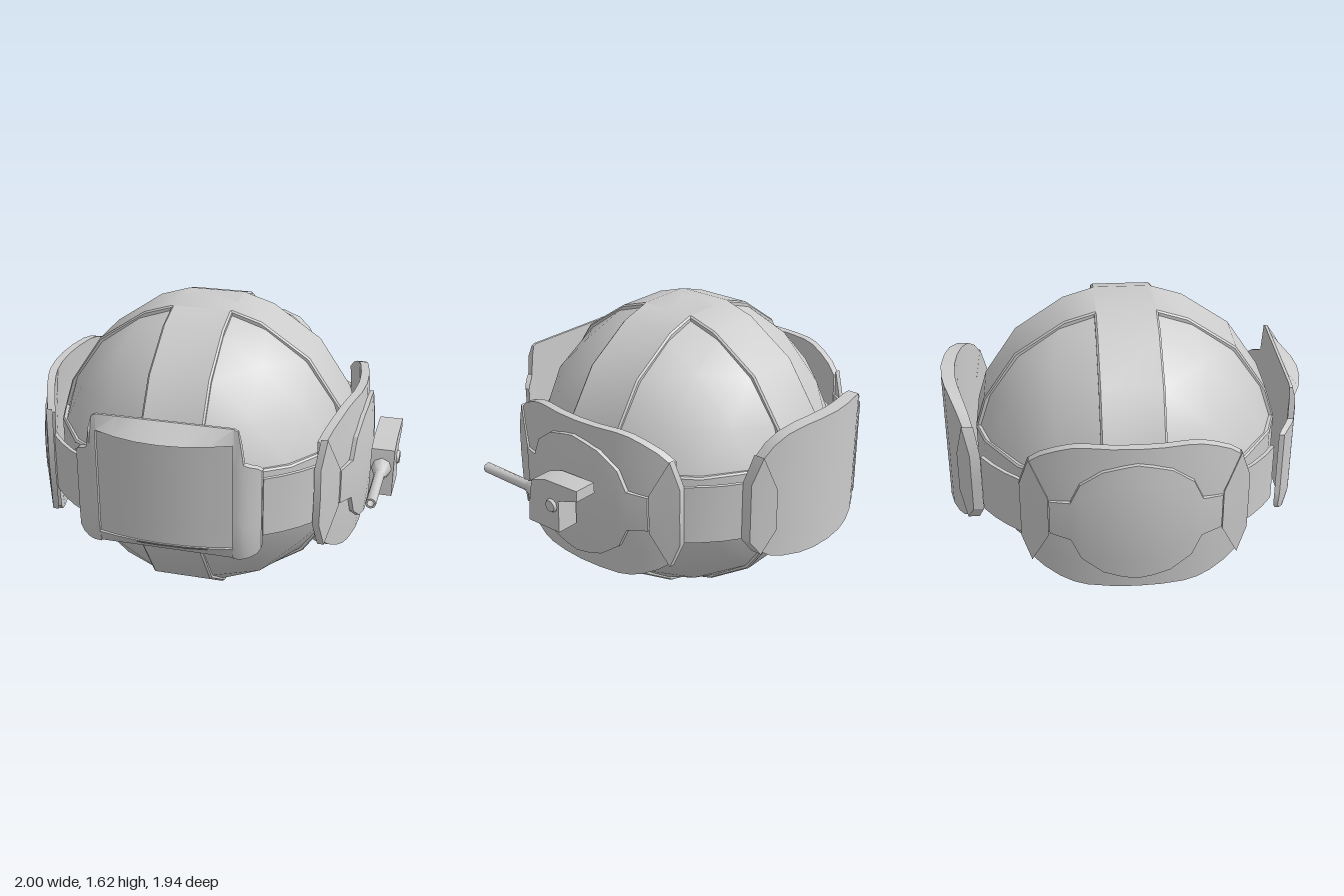
import * as THREE from 'three';
import { toCreasedNormals } from 'three/addons/utils/BufferGeometryUtils.js';

const CX = -0.075, CY = 0.81;
const material = new THREE.MeshStandardMaterial({ color: 0xcccccc });

function add(parent, name, geometry, crease = 0.6) {
  const mesh = new THREE.Mesh(toCreasedNormals(geometry, crease), material);
  mesh.name = name;
  parent.add(mesh);
  return mesh;
}

// Mirrors columns [u, yLow, yHigh] given for u > 0 (or u = 0) to the other side
const flip = cols => cols.map(([u, lo, hi]) => [-u, lo, hi]).reverse();
const both = cols => [...flip(cols.filter(c => c[0] > 0)), ...cols];

// Bent slab facing +z: a box whose columns follow cols and whose faces follow two depth rules
function slab(cols, outer, inner, rows = 6) {
  const n = cols.length - 1;
  const g = new THREE.BoxGeometry(1, 1, 1, n, rows, 1);
  const p = g.attributes.position;
  for (let i = 0; i < p.count; i++) {
    const [u, lo, hi] = cols[Math.round((p.getX(i) + 0.5) * n)];
    const y = lo + (hi - lo) * (p.getY(i) + 0.5);
    p.setXYZ(i, u, y, (p.getZ(i) > 0 ? outer : inner)(u, y));
  }
  return g;
}

// Depth rule: upright drum of radius r that leans in above and below the middle
const drum = (r, lean = 0, shift = 0) => (u, y) =>
  Math.sqrt(r * r - u * u) - lean * (y - CY) ** 2 + shift;

// Raised band around the ball
function bandGeometry() {
  const ring = r => {
    const pts = [];
    for (let q = 0; q < 4; q++)
      for (const a of [11.6, 23, 45, 67, 78.4]) {
        const t = THREE.MathUtils.degToRad(a + q * 90);
        pts.push(new THREE.Vector2(r * Math.cos(t), r * Math.sin(t)));
      }
    return pts;
  };
  const shape = new THREE.Shape(ring(0.825));
  shape.holes.push(new THREE.Path(ring(0.76)));
  return new THREE.ExtrudeGeometry(shape, {
    depth: 0.31, bevelThickness: 0.01, bevelSize: 0.008, bevelOffset: -0.008, bevelSegments: 1,
  }).translate(0, 0, -0.155);
}

// One eighth of the ball, cut off where the bands begin
function panelGeometry(sx, sy, sz) {
  const N = 4, a = 0.155, R = 0.82, pos = [], index = [], id = {};
  for (let i = 0; i <= N; i++)
    for (let j = 0; j <= N - i; j++) {
      const d = new THREE.Vector3(i, j, N - i - j).normalize();
      const b = a * (d.x + d.y + d.z);
      const s = -b + Math.sqrt(b * b - 3 * a * a + R * R);
      id[i + ',' + j] = pos.length / 3;
      pos.push(sx * (a + s * d.x), sy * (a + s * d.y), sz * (a + s * d.z));
    }
  const tri = (p, q, r) => index.push(...(sx * sy * sz > 0 ? [p, q, r] : [p, r, q]));
  for (let i = 0; i < N; i++)
    for (let j = 0; j < N - i; j++) {
      const p = id[i + ',' + j], q = id[(i + 1) + ',' + j], r = id[i + ',' + (j + 1)];
      tri(p, q, r);
      if (i + j < N - 1) tri(q, id[(i + 1) + ',' + (j + 1)], r);
    }
  const g = new THREE.BufferGeometry();
  g.setAttribute('position', new THREE.Float32BufferAttribute(pos, 3));
  g.setIndex(index);
  return g;
}

function createBall() {
  const ball = new THREE.Group();
  ball.name = 'ballBody';
  ball.position.set(CX, CY, 0.01);
  add(ball, 'bandFront', bandGeometry());
  add(ball, 'bandSide', bandGeometry().rotateY(Math.PI / 2));
  add(ball, 'bandBelt', bandGeometry().rotateX(Math.PI / 2));
  for (const x of [1, -1]) for (const y of [1, -1]) for (const z of [1, -1])
    add(ball, 'panel', panelGeometry(x, y, z));
  return ball;
}

// Six-sided clasps on both ends of a plate
function addClasps(parent, cols, outer, inner) {
  add(parent, 'clasp', slab(cols, outer, inner, 2), 0.4);
  add(parent, 'clasp', slab(flip(cols), outer, inner, 2), 0.4);
}

function createArmour() {
  const armour = new THREE.Group();
  armour.name = 'armourRing';
  armour.position.x = CX;

  // Side plates with a raised, notched disc and end clasps
  const sideCols = both([[0, 0.4, 1.225], [0.13, 0.4, 1.225], [0.25, 0.4, 1.225], [0.32, 0.41, 1.215],
    [0.39, 0.435, 1.19], [0.47, 0.48, 1.15], [0.53, 0.53, 1.1]]);
  const discCols = both([[0, 0.47, 1.15], [0.08, 0.485, 1.135], [0.17, 0.51, 1.11], [0.28, 0.59, 1.03],
    [0.33, 0.7, 0.92], [0.435, 0.715, 0.905]]);
  const sideClasp = [[0.44, 0.7, 0.92], [0.53, 0.51, 1.115], [0.58, 0.65, 0.965]];
  for (const s of [1, -1]) {
    const side = new THREE.Group();
    side.name = s > 0 ? 'sidePlateLeft' : 'sidePlateRight';
    side.position.z = 0.015;
    side.rotation.y = s * Math.PI / 2;
    add(side, 'plate', slab(sideCols, drum(1.11, 0.12, -0.215), drum(1.11, 0.12, -0.26)));
    add(side, 'disc', slab(discCols, drum(0.97, 0.2, -0.045), drum(0.97, 0.12, -0.09)), 0.4);
    addClasps(side, sideClasp, drum(1.08, 0.12, -0.17), drum(1.08, 0.12, -0.205));
    armour.add(side);
  }

  // Back plate with end clasps
  const back = new THREE.Group();
  back.name = 'backPlate';
  back.rotation.y = Math.PI;
  const backCols = both([[0, 0.51, 1.26], [0.12, 0.51, 1.26], [0.22, 0.515, 1.255], [0.32, 0.53, 1.23],
    [0.39, 0.55, 1.18], [0.44, 0.585, 1.11]]);
  add(back, 'plate', slab(backCols, drum(0.8, 0, 0.178), drum(0.93, 0, -0.025)));
  addClasps(back, [[0.37, 0.7, 0.93], [0.44, 0.57, 1.125], [0.49, 0.65, 0.98]],
    drum(0.8, 0, 0.187), drum(0.93, 0, -0.025));
  armour.add(back);

  // Thin straps joining the plates
  const strapCols = both([[0, 0.65, 0.97], [0.1, 0.65, 0.97], [0.2, 0.65, 0.97]]);
  for (let i = 0; i < 4; i++)
    add(armour, 'strap', slab(strapCols, drum(0.905), drum(0.885), 1)).rotation.y = Math.PI / 4 + i * Math.PI / 2;
  return armour;
}

function createFace() {
  const face = new THREE.Group();
  face.name = 'facePlate';
  face.position.x = CX;
  const across = (lo, hi) => [-0.355, -0.24, -0.12, 0, 0.12, 0.24, 0.355].map(u => [u, lo, hi]);
  const back = u => 0.845 - 0.7 * Math.max(0, Math.abs(u) - 0.4);

  // Recessed screen
  add(face, 'screen', slab(across(0.6, 1.2), u => 0.915 - 0.4 * u * u, back));

  // Overhanging brow and sloping lower lip
  const lip = u => 0.965 - 0.7 * u * u;
  const chin = u => 0.925 - 0.35 * u * u;
  add(face, 'brow', slab(across(1.19, 1.27), (u, y) => lip(u) + (0.86 - lip(u)) * (y - 1.19) / 0.08, back, 1), 0.5);
  add(face, 'lowerLip', slab(across(0.55, 0.615),
    (u, y) => chin(u) + (0.855 - chin(u)) * (0.615 - y) / 0.065, back, 1), 0.5);

  // Stepped cheeks beside the screen
  const cheek = [[0.352, 0.55, 1.27], [0.375, 0.55, 1.26], [0.39, 0.55, 1.2], [0.405, 0.55, 1.09],
    [0.43, 0.555, 1.075], [0.465, 0.57, 1.06], [0.485, 0.6, 1.04]];
  const cheekFront = (u, y) => 0.885 - 4 * (Math.abs(u) - 0.352) ** 2
    - 0.3 * Math.max(0, y - 1.19) - 0.3 * Math.max(0, 0.615 - y);
  add(face, 'cheekLeft', slab(cheek, cheekFront, back));
  add(face, 'cheekRight', slab(flip(cheek), cheekFront, back));
  return face;
}

function createGun() {
  const gun = new THREE.Group();
  gun.name = 'sideGun';

  // Body profile in (-z, y), extruded along x
  const profile = [[-0.2, 0.66], [0.025, 0.665], [0.03, 0.85], [0.165, 0.895], [0.165, 0.955],
    [-0.06, 0.945], [-0.16, 0.91], [-0.18, 0.83]].map(([a, b]) => new THREE.Vector2(a, b));
  add(gun, 'gunBody', new THREE.ExtrudeGeometry(new THREE.Shape(profile), { depth: 0.125, bevelEnabled: false })
    .rotateY(Math.PI / 2).translate(0.86, 0, 0), 0.3);

  // Collar and hollow barrel
  const barrel = [[0.055, 0.15], [0.055, 0.18], [0.032, 0.26], [0.028, 0.265], [0.028, 0.585], [0.018, 0.585], [0.018, 0.5], [0, 0.5]]
    .map(([r, z]) => new THREE.Vector2(r, z));
  add(gun, 'barrel', new THREE.LatheGeometry(barrel, 8).rotateX(Math.PI / 2).translate(0.92, CY, 0), 0.8);

  // Pivot bolt
  add(gun, 'pivotBolt', new THREE.CylinderGeometry(0.032, 0.045, 0.03, 10)
    .rotateZ(-Math.PI / 2).translate(0.985, CY, 0.02));
  return gun;
}

export function createModel() {
  const model = new THREE.Group();
  model.name = 'sphericalRobot';
  model.add(createBall(), createArmour(), createFace(), createGun());
  return model;
}
